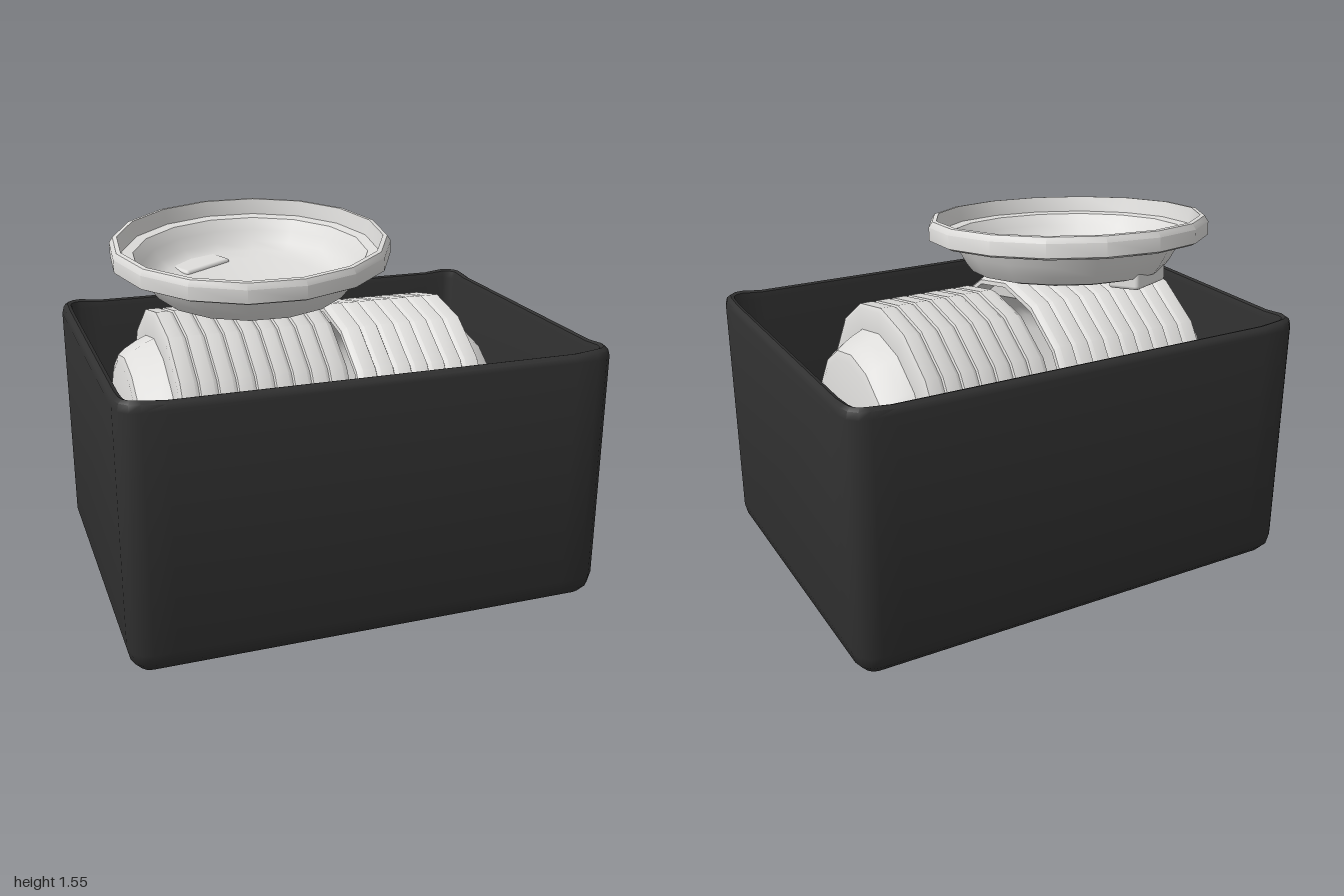
import * as THREE from 'three';
import { toCreasedNormals } from 'three/addons/utils/BufferGeometryUtils.js';
import { RoundedBoxGeometry } from 'three/addons/geometries/RoundedBoxGeometry.js';

const crateMat = new THREE.MeshStandardMaterial({ color: 0x303030 });
crateMat.name = 'charcoal';
const dishMat = new THREE.MeshStandardMaterial({ color: 0xdddcda });
dishMat.name = 'off white';

// Rounded rectangle, counter-clockwise from above; corners can be lifted slightly
function crateLoop(inset, y, lift) {
  const hx = 1 - inset, hz = 0.75 - inset, r = Math.max(0.035, 0.09 - inset);
  const pts = [];
  for (let c = 0; c < 4; c++) {
    const base = c * Math.PI / 2;
    const sx = c === 0 || c === 3 ? 1 : -1, sz = c < 2 ? -1 : 1;
    const cx = sx * (hx - r), cz = sz * (hz - r);
    const at = (k) => {
      const a = base + k * Math.PI / 6;
      return [cx + r * Math.cos(a), cz - r * Math.sin(a)];
    };
    // plain points on the straight sides either side of the corner
    const first = at(0), last = at(3), d = 0.09;
    pts.push([first[0] + d * Math.sin(base) * -1, y, first[1] + d * Math.cos(base)]);
    for (let k = 0; k < 4; k++) pts.push([at(k)[0], y + lift, at(k)[1]]);
    pts.push([last[0] - d * Math.cos(base), y, last[1] + d * Math.sin(base)]);
    // the first point lies backwards along the side, the last one forwards
    const f = pts[pts.length - 6];
    f[0] = first[0] + d * Math.sin(base);
  }
  return pts;
}

// Open crate lofted from the underside, over the rim and down to the floor
function crateGeometry() {
  const rings = [
    [0.1, 0, 0], [0.045, 0.014, 0], [0.012, 0.05, 0], [0, 0.1, 0],
    [0, 1.07, 0], [0.008, 1.09, 0.008], [0.025, 1.1, 0.01],
    [0.04, 1.095, 0.008], [0.048, 1.07, 0], [0.048, 0.035, 0],
  ].map(([inset, y, lift]) => crateLoop(inset, y, lift));
  const n = rings[0].length, pos = rings.flat(2), idx = [];
  for (let i = 0; i < rings.length - 1; i++) {
    for (let j = 0; j < n; j++) {
      const k = (j + 1) % n, a = i * n + j, b = i * n + k;
      idx.push(a, b, b + n, a, b + n, a + n);
    }
  }
  const under = pos.length / 3, floor = under + 1, top = (rings.length - 1) * n;
  pos.push(0, 0, 0, 0, 0.035, 0);
  for (let j = 0; j < n; j++) {
    const k = (j + 1) % n;
    idx.push(under, k, j, floor, top + j, top + k);
  }
  const g = new THREE.BufferGeometry();
  g.setAttribute('position', new THREE.Float32BufferAttribute(pos, 3));
  g.setIndex(idx);
  return toCreasedNormals(g, 0.75);
}

// Dish profile: underside, bowl wall, flange, upright lip, then the inside
const profile = [
  [0, 0], [0.37, 0.002], [0.405, 0.012], [0.43, 0.045], [0.455, 0.09], [0.475, 0.137],
  [0.565, 0.14], [0.585, 0.15], [0.585, 0.205], [0.57, 0.228], [0.552, 0.23],
  [0.535, 0.165], [0.49, 0.16], [0.455, 0.115], [0.425, 0.07], [0.385, 0.04], [0.32, 0.026], [0, 0.022],
].map(([r, y]) => new THREE.Vector2(r, y));
const dishGeo = toCreasedNormals(new THREE.LatheGeometry(profile, 16), 0.6);
const tabGeo = new RoundedBoxGeometry(0.25, 0.075, 0.135, 2, 0.015);

function makeDish(name) {
  const dish = new THREE.Group();
  dish.name = name;
  const body = new THREE.Mesh(dishGeo, dishMat);
  body.name = 'dishBody';
  const tab = new THREE.Mesh(tabGeo, dishMat);
  tab.name = 'dishTab';
  tab.position.set(0, 0.002, 0.33);
  dish.add(body, tab);
  return dish;
}

// Nested dishes lying on edge; side is the end their undersides face
function makeStack(name, side, count, endX, y, size) {
  const stack = new THREE.Group();
  stack.name = name;
  for (let i = 0; i < count; i++) {
    const dish = makeDish('stackedDish');
    dish.position.set(side * (endX - i * 0.075), y, 0);
    dish.rotation.z = side * Math.PI / 2;
    dish.scale.set(size, 1, size);
    stack.add(dish);
  }
  return stack;
}

export function createModel() {
  const model = new THREE.Group();
  model.name = 'crateOfDishes';

  const crate = new THREE.Mesh(crateGeometry(), crateMat);
  crate.name = 'crate';

  // Loose dish resting at a tilt on top
  const loose = makeDish('looseDish');
  loose.position.set(-0.268, 1.26, -0.098);
  loose.rotation.set(0.1, Math.PI + 0.49, 0.03, 'XZY');

  model.add(
    crate,
    makeStack('rightStack', -1, 9, 0.85, 0.633, 1),
    makeStack('leftStack', 1, 7, 0.7, 0.613, 0.98),
    loose,
  );
  return model;
}
